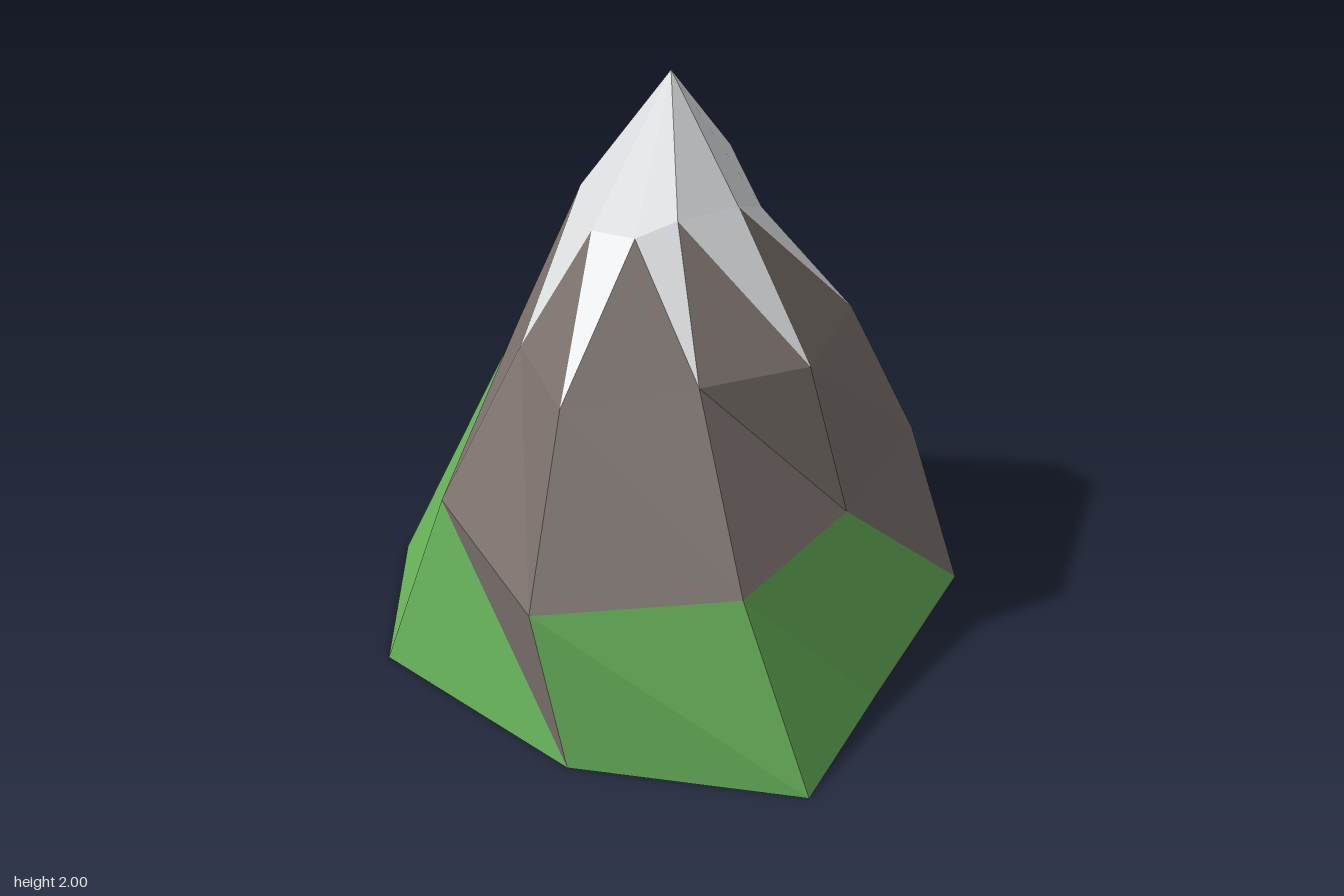
import * as THREE from 'three';

// Cross-sections of the mountain, nine corners each, as [x, y, z]
const foot = [
  [0.905, 0, -0.13], [0.72, 0, 0.555], [0.04, 0, 0.77], [-0.465, 0, 0.935], [-0.88, 0, 0.3],
  [-0.91, 0, -0.515], [-0.465, 0, -0.935], [0.1, 0, -0.9], [0.78, 0, -0.715],
];
const meadowLine = [
  [0.765, 0.59, -0.055], [0.64, 0.58, 0.395], [0.085, 0.62, 0.585], [-0.475, 0.62, 0.66], [-0.91, 0.55, 0.185],
  [-0.755, 0.62, -0.38], [-0.35, 0.5, -0.68], [0.01, 0.555, -0.94], [0.5, 0.555, -0.51],
];
const snowLine = [
  [0.43, 1.11, -0.07], [0.375, 1.14, 0.335], [-0.04, 1.19, 0.525], [-0.325, 1.16, 0.335], [-0.645, 1.115, 0.065],
  [-0.51, 1.14, -0.25], [-0.3, 1.04, -0.49], [0.1, 1.07, -0.635], [0.345, 1.05, -0.35],
];
const shoulder = [
  [0.245, 1.62, -0.075], [0.195, 1.485, 0.105], [-0.035, 1.62, 0.22], [-0.25, 1.64, 0.175], [-0.3, 1.55, 0.045],
  [-0.33, 1.53, -0.11], [-0.2, 1.57, -0.29], [0.005, 1.63, -0.33], [0.175, 1.55, -0.22],
];
const summit = [-0.065, 2, -0.03];

// Segments where grass climbs all the way to the meadow line
const grassySegments = [2, 3, 5, 6, 7];

function material(name, color) {
  const m = new THREE.MeshStandardMaterial({ color, flatShading: true, side: THREE.DoubleSide });
  m.name = name;
  return m;
}

function facetMesh(name, triangles, mat) {
  const geometry = new THREE.BufferGeometry();
  geometry.setAttribute('position', new THREE.Float32BufferAttribute(triangles.flat(2), 3));
  geometry.computeVertexNormals();
  const mesh = new THREE.Mesh(geometry, mat);
  mesh.name = name;
  return mesh;
}

// Splits the band between two rings into triangles standing on the lower
// ring (rising) and triangles hanging from the upper ring (hanging)
function band(lower, upper) {
  const rising = [], hanging = [];
  lower.forEach((p, i) => {
    const j = (i + 1) % lower.length;
    rising.push([p, upper[j], lower[j]]);
    hanging.push([p, upper[i], upper[j]]);
  });
  return { rising, hanging };
}

export function createModel() {
  const base = band(foot, meadowLine);
  const slope = band(meadowLine, snowLine);
  const upper = band(snowLine, shoulder);
  const peak = shoulder.map((p, i) => [p, summit, shoulder[(i + 1) % shoulder.length]]);
  const isGrassy = (_, i) => grassySegments.includes(i);

  const group = new THREE.Group();
  group.name = 'mountain';
  group.add(
    // Grass around the foot
    facetMesh('grassFoot', [...base.rising, ...base.hanging.filter(isGrassy)], material('grass', 0x66b058)),
    // Bare rock, reaching down between the grass and up between the snow
    facetMesh('rockSlopes', [
      ...base.hanging.filter((t, i) => !isGrassy(t, i)),
      ...slope.rising, ...slope.hanging, ...upper.rising,
    ], material('rock', 0x7b716d)),
    // Snow cap with tongues running down to the snow line
    facetMesh('snowCap', [...upper.hanging, ...peak], material('snow', 0xdcdee0)),
  );
  return group;
}
